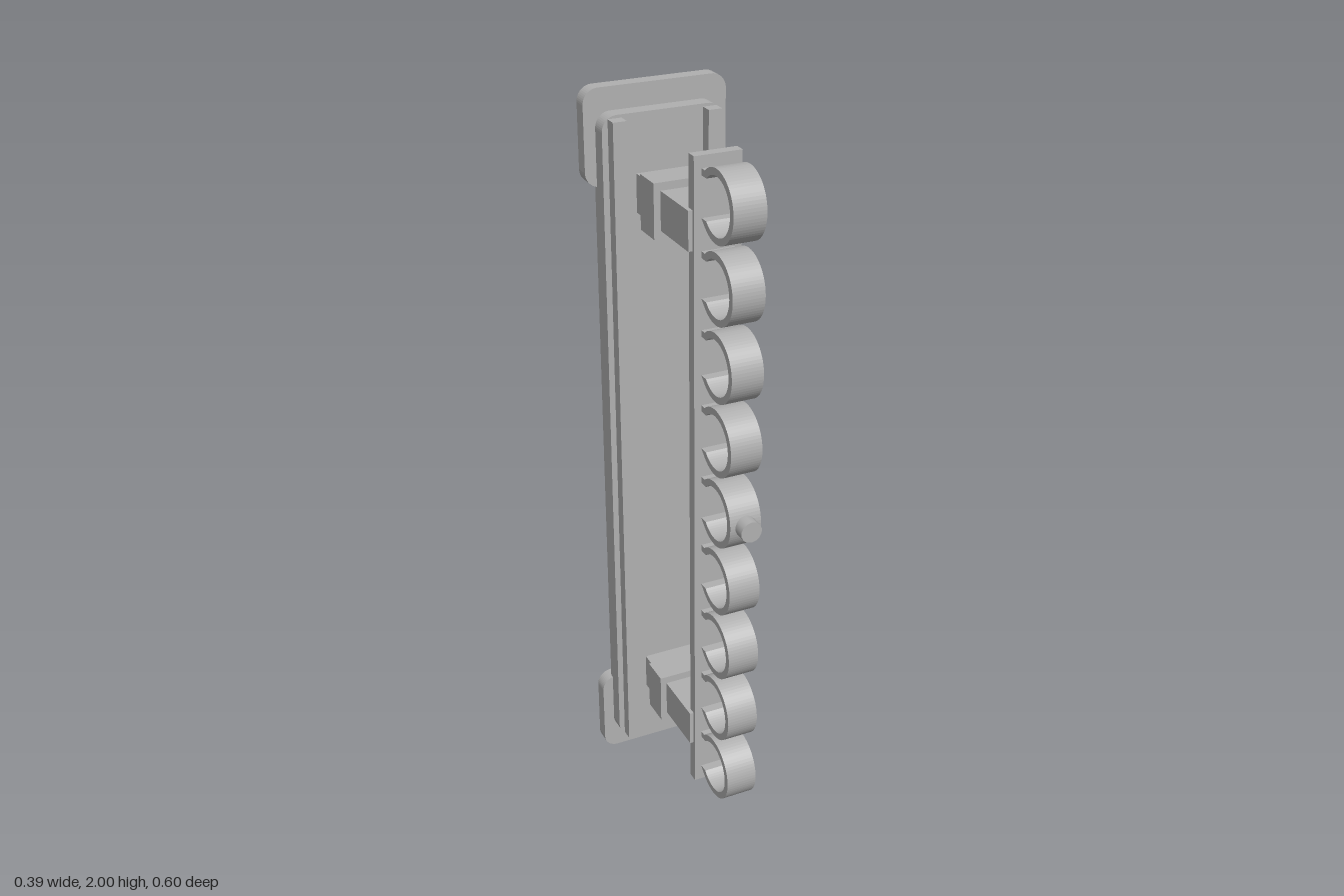
import * as THREE from 'three';

const grey = new THREE.MeshStandardMaterial({ color: 0xb0b0b0 });
grey.name = 'grey';

export function createModel() {
  const group = new THREE.Group();
  const add = (name, geometry, x = 0, y = 0, z = 0) => {
    const mesh = new THREE.Mesh(geometry, grey);
    mesh.name = name;
    mesh.position.set(x, y, z);
    group.add(mesh);
    return mesh;
  };

  // Box given by its limits on each axis
  const box = (name, x0, x1, y0, y1, z0, z1) =>
    add(name, new THREE.BoxGeometry(x1 - x0, y1 - y0, z1 - z0), (x0 + x1) / 2, (y0 + y1) / 2, (z0 + z1) / 2);

  // Plate with rounded corners, facing z
  const plate = (name, w, y0, y1, z0, z1, r) => {
    const h = (y1 - y0) / 2, s = new THREE.Shape();
    s.absarc(w - r, h - r, r, 0, Math.PI / 2);
    s.absarc(-w + r, h - r, r, Math.PI / 2, Math.PI);
    s.absarc(-w + r, -h + r, r, Math.PI, Math.PI * 1.5);
    s.absarc(w - r, -h + r, r, Math.PI * 1.5, Math.PI * 2);
    const g = new THREE.ExtrudeGeometry(s, { depth: z1 - z0, bevelEnabled: false, curveSegments: 6 });
    return add(name, g, 0, (y0 + y1) / 2, z0);
  };

  // Back board with end pads and two rails
  plate('backBoard', 0.163, 0.063, 1.94, -0.272, -0.217, 0.04);
  plate('lowerPad', 0.194, 0, 0.25, -0.3, -0.26, 0.04);
  plate('upperPad', 0.194, 1.75, 2, -0.3, -0.26, 0.04);
  for (const [side, name] of [[1, 'leftRail'], [-1, 'rightRail']]) {
    const a = side * 0.11, b = side * 0.147;
    box(name, Math.min(a, b), Math.max(a, b), 0.072, 1.932, -0.222, -0.184);
  }

  // Arms with collars
  for (const [y, name] of [[0.273, 'lower'], [1.735, 'upper']]) {
    box(name + 'Arm', -0.074, 0.074, y - 0.051, y + 0.051, -0.218, 0.089);
    box(name + 'Collar', -0.092, 0.092, y - 0.072, y + 0.072, -0.152, -0.07);
  }

  // Front bar
  box('clipBar', -0.063, 0.063, 0.092, 1.918, 0.068, 0.097);

  // Open ring clip: outer arc, inner arc and short tabs reaching the bar
  const outer = 0.091, inner = 0.073, tabOut = 0.069, tabIn = 0.052;
  const aOut = Math.PI - Math.asin(tabOut / outer);
  const aIn = Math.PI - Math.asin(tabIn / inner);
  const clip = new THREE.Shape();
  clip.moveTo(-0.079, -tabOut);
  clip.absarc(0, 0, outer, -aOut, aOut, false);
  clip.lineTo(-0.079, tabOut);
  clip.lineTo(-0.079, tabIn);
  clip.absarc(0, 0, inner, aIn, -aIn, true);
  clip.lineTo(-0.079, -tabIn);
  clip.closePath();
  const clipGeometry = new THREE.ExtrudeGeometry(clip, { depth: 0.086, bevelEnabled: false, curveSegments: 24 });
  clipGeometry.translate(0, 0, -0.043).rotateY(-Math.PI / 2);
  for (let i = 0; i < 9; i++) add('clip' + (i + 1), clipGeometry, 0, 0.19 + i * 0.2035, 0.174);

  // Small knob on the middle clip
  const knob = new THREE.CylinderGeometry(0.029, 0.029, 0.038, 14).rotateX(Math.PI / 2);
  add('knob', knob, 0, 1.004, 0.279);

  return group;
}
